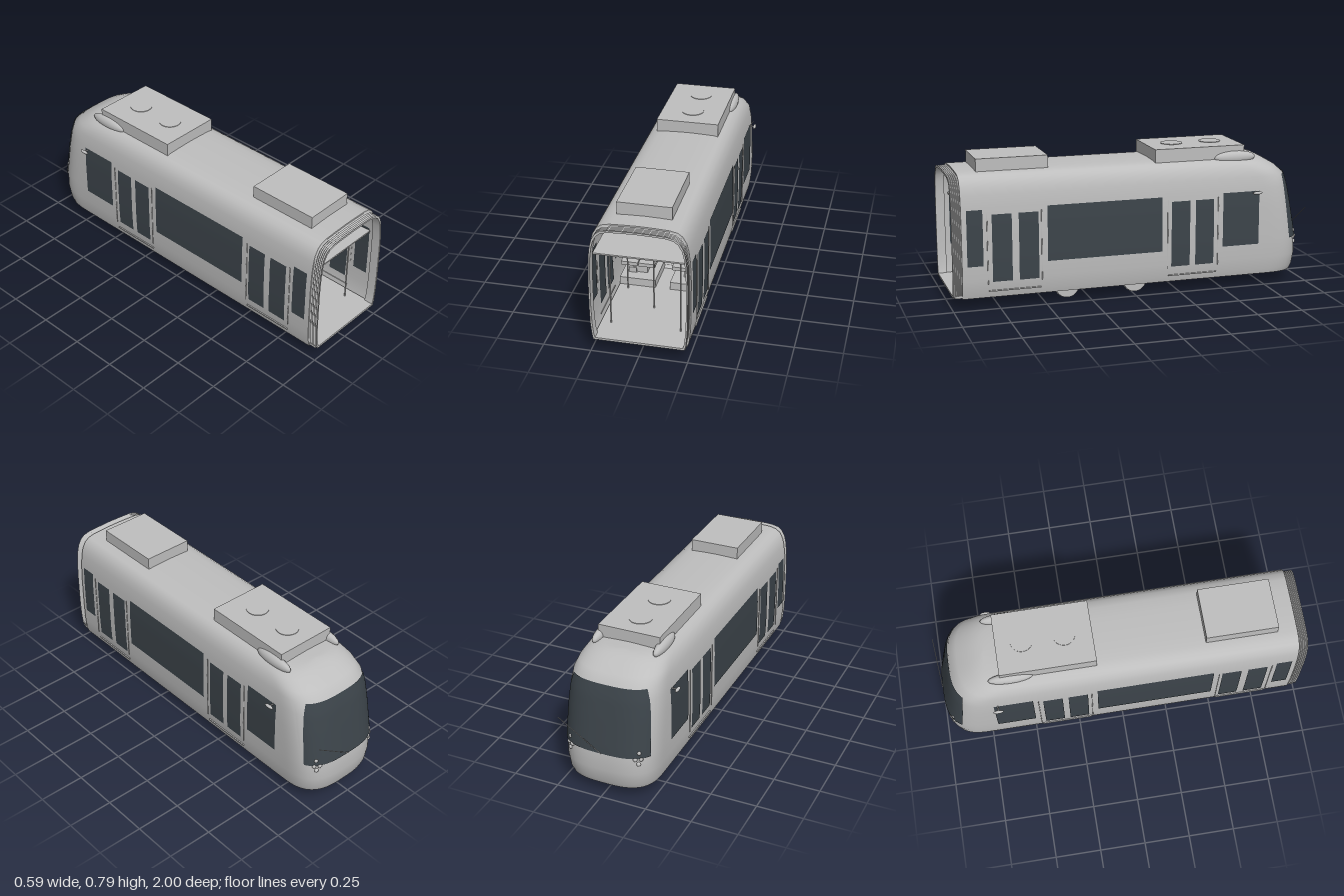
import * as THREE from 'three';
import { toCreasedNormals } from 'three/addons/utils/BufferGeometryUtils.js';

const mat = (name, color) => {
  const m = new THREE.MeshStandardMaterial({ color, side: THREE.DoubleSide });
  m.name = name;
  return m;
};

// Half cross-section: [half width, height, z of the nose at this height]
const PROFILE = [
  [0, 0.063, -0.962], [0.24, 0.063, -0.964], [0.247, 0.09, -0.975], [0.254, 0.16, -0.985],
  [0.257, 0.26, -0.98], [0.257, 0.45, -0.945], [0.253, 0.55, -0.925], [0.245, 0.615, -0.905],
  [0.235, 0.655, -0.86], [0.215, 0.69, -0.8], [0.19, 0.708, -0.765], [0.15, 0.717, -0.735],
  [0.08, 0.72, -0.72], [0, 0.722, -0.71],
];
const END = 0.95;
const NOSE = 0.22; // length of the rounded plan

// Half width and nose position at a height
function at(y) {
  let i = 2;
  while (i < PROFILE.length - 1 && PROFILE[i][1] < y) i++;
  const a = PROFILE[i - 1], b = PROFILE[i];
  const t = (y - a[1]) / (b[1] - a[1]);
  return [a[0] + (b[0] - a[0]) * t, y, a[2] + (b[2] - a[2]) * t];
}

// Point on the rounded plan of the nose, angle 0..PI from +x to -x
function nosePoint([w, y, zn], a) {
  const c = Math.cos(a), s = Math.abs(Math.sin(a));
  return [w * Math.sign(c) * Math.abs(c) ** (2 / 3), y, zn + NOSE - NOSE * s ** (2 / 3)];
}

// Grid surface from a rule fn(row, column)
function patch(rows, cols, fn) {
  const pos = [], idx = [];
  for (let r = 0; r <= rows; r++) for (let c = 0; c <= cols; c++) pos.push(...fn(r, c));
  for (let r = 0; r < rows; r++) for (let c = 0; c < cols; c++) {
    const p = r * (cols + 1) + c, q = p + cols + 1;
    idx.push(p, p + 1, q, p + 1, q + 1, q);
  }
  const g = new THREE.BufferGeometry();
  g.setAttribute('position', new THREE.Float32BufferAttribute(pos, 3));
  g.setIndex(idx);
  return toCreasedNormals(g, 0.7);
}

export function createModel() {
  const root = new THREE.Group();
  root.name = 'tramSection';
  const body = mat('body grey', 0xbebebe);
  const glass = mat('dark glass', 0x3c444a);
  const screen = mat('screen blue grey', 0x3f4554);

  const add = (name, geo, m, x = 0, y = 0, z = 0) => {
    const mesh = new THREE.Mesh(geo, m);
    mesh.name = name;
    mesh.position.set(x, y, z);
    root.add(mesh);
    return mesh;
  };
  const box = (name, x0, x1, y0, y1, z0, z1, m = body) =>
    add(name, new THREE.BoxGeometry(x1 - x0, y1 - y0, Math.abs(z1 - z0)), m,
      (x0 + x1) / 2, (y0 + y1) / 2, (z0 + z1) / 2);
  const rod = (name, a, b, r) => {
    const path = new THREE.LineCurve3(new THREE.Vector3(...a), new THREE.Vector3(...b));
    return add(name, new THREE.TubeGeometry(path, 1, r, 8), body);
  };
  const ball = (name, x, y, z, rx, ry, rz) => {
    const m = add(name, new THREE.SphereGeometry(1, 20, 12), body, x, y, z);
    m.scale.set(rx, ry, rz);
    return m;
  };
  const axle = (name, x, y, z, r, len) => {
    const m = add(name, new THREE.CylinderGeometry(r, r, len, 28), body, x, y, z);
    m.rotation.z = Math.PI / 2;
    return m;
  };

  // Outer shell: straight sides running into a rounded nose
  const N = 64;
  add('bodyShell', patch(PROFILE.length - 1, N + 2, (r, c) => {
    const p = PROFILE[r];
    if (c === 0) return [p[0], p[1], END];
    if (c === N + 2) return [-p[0], p[1], END];
    return nosePoint(p, (Math.PI * (c - 1)) / N);
  }), body);

  // Windscreen wrapped around the nose
  add('windscreen', patch(14, 64, (r, c) => {
    const t = r / 14, p = at(0.255 + 0.36 * t);
    const edge = -0.897 + 0.043 * t;
    const a0 = Math.asin(((p[2] + NOSE - edge) / NOSE) ** 1.5);
    const q = nosePoint(p, a0 + ((Math.PI - 2 * a0) * c) / 64);
    return [q[0] * 1.014, q[1] + 0.001, q[2] - 0.004];
  }), glass);

  // Side windows and door panes on both faces of the wall
  const panes = [
    [0.923, 0.838, 0.24, 0.54], [0.79, 0.684, 0.15, 0.512], [0.647, 0.541, 0.15, 0.512],
    [0.493, -0.143, 0.24, 0.54], [-0.196, -0.302, 0.15, 0.512], [-0.334, -0.44, 0.15, 0.512],
    [-0.493, -0.705, 0.24, 0.54],
  ];
  for (const s of [1, -1]) {
    for (const [z0, z1, y0, y1] of panes) for (const off of [0.003, -0.003]) {
      add(off > 0 ? 'windowOutside' : 'windowInside', patch(10, 1, (r, c) => {
        const [w, y] = at(y0 + ((y1 - y0) * r) / 10);
        return [s * (w + off), y, c ? z1 : z0];
      }), glass);
    }
    // Door sills and grab handles
    for (const z of [0.67, -0.32]) {
      box('doorSill', s * 0.25 - 0.005, s * 0.25 + 0.005, 0.097, 0.103, z - 0.14, z + 0.14);
      for (const d of [0.145, -0.145]) rod('doorHandrail', [s * 0.258, 0.14, z + d], [s * 0.258, 0.52, z + d], 0.002);
    }
  }

  // Pleated gangway around the open end
  const loop = [...PROFILE.map(([w, y]) => [w, y]), ...PROFILE.slice(0, -1).reverse().map(([w, y]) => [-w, y])];
  const rings = [[1, END], [0.945, END]];
  for (let i = 0; i <= 10; i++) rings.push([i % 2 ? 0.955 : 0.975, END + i * 0.005]);
  rings.push([0.94, 1], [0.94, END]);
  add('gangwayBellows', patch(rings.length - 1, loop.length - 1, (r, c) => {
    const [k, z] = rings[r], [x, y] = loop[c];
    return [x * k, 0.39 + (y - 0.39) * k, z];
  }), body);

  // Interior floor, ceiling sheet and cab partition
  box('floor', -0.236, 0.236, 0.068, 0.082, -0.46, 0.99);
  box('ceiling', -0.245, 0.245, 0.525, 0.533, -0.46, 0.93);
  const wall = new THREE.Shape(loop.map(([x, y]) => new THREE.Vector2(x * 0.98, 0.39 + (y - 0.39) * 0.98)));
  add('cabPartition', new THREE.ShapeGeometry(wall), body, 0, 0, -0.465);
  box('partitionDisplay', -0.06, 0.06, 0.468, 0.511, -0.464, -0.455, screen);
  box('displayFrame', -0.066, 0.066, 0.463, 0.516, -0.464, -0.459);
  box('partitionScreen', -0.175, -0.065, 0.36, 0.435, -0.464, -0.455, screen);
  rod('screenStand', [-0.142, 0.082, -0.455], [-0.142, 0.36, -0.455], 0.003);

  // Seats on plinths above the wheels
  for (const s of [1, -1]) {
    const span = (a, b) => (s > 0 ? [a, b] : [-b, -a]);
    for (const z of [0.366, -0.016]) {
      box('seatPlinth', ...span(0.04, 0.235), 0.082, 0.125, z - 0.11, z + 0.11);
      box('wheelCover', ...span(0.16, 0.2), 0.125, 0.155, z - 0.05, z + 0.05);
      for (const [a, b] of [[0.047, 0.138], [0.142, 0.233]]) {
        box('seatBack', ...span(a, b), 0.205, 0.36, z - 0.012, z + 0.012);
        box('seatCushion', ...span(a, b), 0.19, 0.21, z - 0.09, z + 0.09);
      }
      box('seatSupport', ...span(0.1, 0.18), 0.125, 0.19, z - 0.04, z + 0.04);
    }
    for (const z of [0.85, 0.51, -0.16, -0.45]) rod('sidePole', [s * 0.182, 0.08, z], [s * 0.182, 0.527, z], 0.004);
  }
  for (const z of [0.67, -0.32]) rod('centrePole', [0, 0.08, z], [0, 0.527, z], 0.004);

  // Roof equipment
  box('rearRoofUnit', -0.14, 0.14, 0.71, 0.785, 0.458, 0.845);
  box('frontRoofUnit', -0.172, 0.172, 0.71, 0.785, -0.645, -0.13);
  for (const z of [-0.28, -0.505])
    add('roofFan', new THREE.CylinderGeometry(0.06, 0.06, 0.004, 32), body, 0, 0.786, z);

  for (const s of [1, -1]) {
    ball('roofFairing', s * 0.17, 0.718, -0.59, 0.028, 0.036, 0.12);
    // Mirrors
    rod('mirrorArm', [s * 0.25, 0.535, -0.683], [s * 0.285, 0.535, -0.683], 0.004);
    ball('mirror', s * 0.286, 0.535, -0.683, 0.009, 0.009, 0.028);
    // Lamp cluster at the lower corner of the windscreen
    [[0.19, 0.285], [0.175, 0.25], [0.2, 0.25], [0.19, 0.222]].forEach(([x, y]) => {
      const [w, , zn] = at(y);
      const z = zn + NOSE - NOSE * (1 - (x / w) ** 3) ** (1 / 3);
      ball('noseLamp', s * x, y, z, 0.012, 0.012, 0.01);
    });
    // Wheels and brake discs
    for (const z of [0.366, -0.016]) {
      axle('wheel', s * 0.163, 0.068, z, 0.065, 0.02);
      axle('wheelFlange', s * 0.156, 0.07, z, 0.07, 0.005);
    }
    for (const z of [0.27, 0.08]) axle('brakeDisc', s * 0.103, 0.06, z, 0.032, 0.01);
  }
  for (const z of [0.366, -0.016]) axle('axle', 0, 0.06, z, 0.008, 0.32);
  for (const z of [0.25, 0.1]) axle('motor', -0.012, 0.065, z, 0.026, 0.155);

  // Wiper
  rod('wiperArm', [0, 0.255, -0.985], [0.23, 0.42, -0.996], 0.002);
  return root;
}
